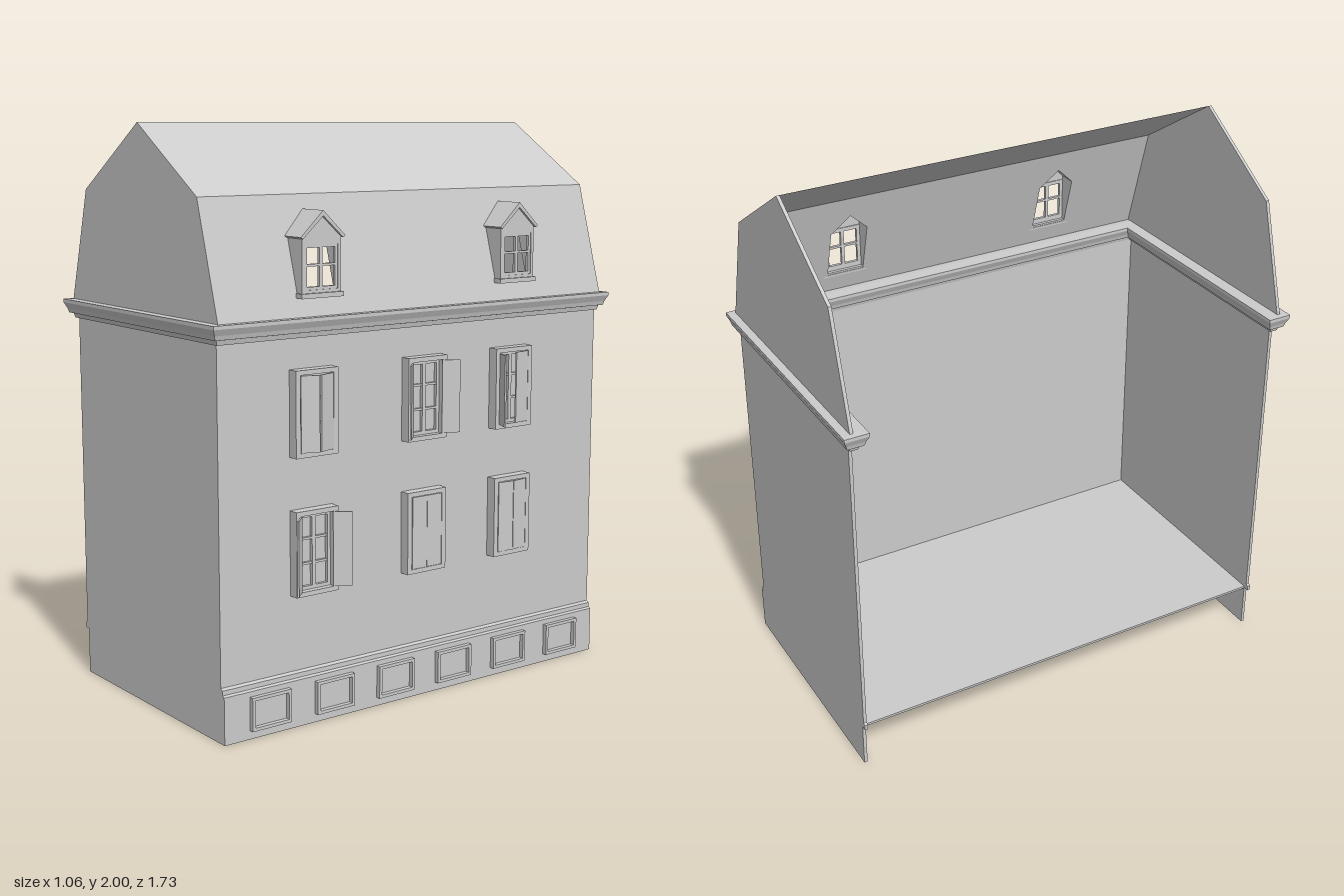
import * as THREE from 'three';

const mat = new THREE.MeshStandardMaterial({ color: 0xcccccc, flatShading: true, side: THREE.DoubleSide });

// Line of the steep lower roof slope: x for a given height
const roofX = (y) => 0.45 + ((y - 1.375) / (1.77 - 1.375)) * (0.335 - 0.45);

function shapeOf(points, holes = []) {
  const s = new THREE.Shape(points.map((p) => new THREE.Vector2(...p)));
  holes.forEach((h) => s.holes.push(new THREE.Path(h.map((p) => new THREE.Vector2(...p)))));
  return s;
}

const rect = (w, y0, y1, c = 0) => [[c - w / 2, y0], [c + w / 2, y0], [c + w / 2, y1], [c - w / 2, y1]];

function add(parent, name, geometry) {
  const m = new THREE.Mesh(geometry, mat);
  m.name = name;
  parent.add(m);
  return m;
}

// Outline in (x, y) pushed along z from z0 to z1
function alongZ(points, z0, z1) {
  return new THREE.ExtrudeGeometry(shapeOf(points), { depth: z1 - z0, bevelEnabled: false }).translate(0, 0, z0);
}

// Symmetric outline in (z, y) pushed along x; toRoof ends its back on the roof slope
function alongX(points, holes, x0, x1, toRoof = false) {
  const g = new THREE.ExtrudeGeometry(shapeOf(points, holes), { depth: x1 - x0, bevelEnabled: false });
  g.rotateY(Math.PI / 2).translate(x0, 0, 0);
  if (toRoof) {
    const p = g.attributes.position;
    for (let i = 0; i < p.count; i++) if (p.getX(i) < x0 + 1e-4) p.setX(i, roofX(p.getY(i)));
    g.computeVertexNormals();
  }
  return g;
}

function box(x0, x1, y0, y1, z0, z1) {
  return new THREE.BoxGeometry(x1 - x0, y1 - y0, z1 - z0).translate((x0 + x1) / 2, (y0 + y1) / 2, (z0 + z1) / 2);
}

// Moulding swept around the U of the walls, on the outside, the ends and the inside
function corniceGeometry() {
  const corners = [ // x, z, and the outward direction of each mitre
    [-0.497, 0.83, -1, 1], [0.435, 0.83, 1, 1], [0.435, -0.83, 1, -1], [-0.497, -0.83, -1, -1],
    [-0.497, -0.81, -1, 1], [0.415, -0.81, -1, 1], [0.415, 0.81, -1, -1], [-0.497, 0.81, -1, -1],
  ];
  const profile = [[-0.01, 1.312], [0.004, 1.312], [0.008, 1.328], [0.02, 1.33], [0.024, 1.345],
    [0.034, 1.366], [0.034, 1.378], [-0.01, 1.38]];
  const at = (i, k) => {
    const [x, z, sx, sz] = corners[i % corners.length];
    const [d, y] = profile[k];
    return [x + sx * d, y, z + sz * d];
  };
  const pos = [];
  for (let i = 0; i < corners.length; i++) {
    for (let k = 0; k < profile.length - 1; k++) {
      const [a, b, c, d] = [at(i, k), at(i + 1, k), at(i + 1, k + 1), at(i, k + 1)];
      pos.push(...a, ...b, ...c, ...a, ...c, ...d);
    }
  }
  const g = new THREE.BufferGeometry();
  g.setAttribute('position', new THREE.Float32BufferAttribute(pos, 3));
  g.computeVertexNormals();
  return g;
}

// Framed window with glazing bars and a hinged pair of shutters
function windowUnit(c, y0, openA, openB) {
  const g = new THREE.Group();
  g.name = 'window';
  add(g, 'windowFrame', alongX(rect(0.17, y0, y0 + 0.29), [rect(0.134, y0 + 0.016, y0 + 0.274)], 0.425, 0.468));
  add(g, 'glass', box(0.428, 0.434, y0 + 0.01, y0 + 0.28, -0.07, 0.07));
  add(g, 'sashFrame', alongX(rect(0.136, y0 + 0.014, y0 + 0.276), [rect(0.11, y0 + 0.028, y0 + 0.262)], 0.43, 0.446));
  add(g, 'mullion', box(0.43, 0.446, y0 + 0.02, y0 + 0.27, -0.007, 0.007));
  for (const t of [0.105, 0.19]) add(g, 'glazingBar', box(0.43, 0.444, y0 + t - 0.004, y0 + t + 0.004, -0.06, 0.06));
  [[1, openA], [-1, openB]].forEach(([s, angle]) => {
    const shutter = add(g, 'shutter', new THREE.BoxGeometry(0.006, 0.255, 0.064).translate(0, 0, -s * 0.032));
    shutter.position.set(0.466, y0 + 0.145, s * 0.0645);
    shutter.rotation.y = -s * angle;
  });
  g.position.z = c;
  return g;
}

const pentagon = (w, y0, eave, top, c = 0) => [[c - w, y0], [c + w, y0], [c + w, eave], [c, top], [c - w, eave]];

// Small gabled dormer open to the attic
function dormer(c) {
  const g = new THREE.Group();
  g.name = 'dormer';
  add(g, 'dormerWalls', alongX(pentagon(0.078, 1.44, 1.635, 1.705), [pentagon(0.07, 1.45, 1.63, 1.695)], 0.3, 0.453, true));
  add(g, 'dormerFront', alongX(pentagon(0.078, 1.44, 1.635, 1.705), [rect(0.132, 1.466, 1.612)], 0.443, 0.455));
  add(g, 'dormerRoof', alongX([[-0.089, 1.638], [-0.08, 1.632], [0, 1.704], [0.08, 1.632], [0.089, 1.638], [0, 1.722]],
    [], 0.3, 0.465, true));
  add(g, 'dormerSill', box(0.43, 0.464, 1.44, 1.456, -0.084, 0.084));
  add(g, 'dormerSash', alongX(rect(0.136, 1.462, 1.616), [rect(0.112, 1.476, 1.602)], 0.44, 0.452));
  add(g, 'dormerMullion', box(0.44, 0.452, 1.466, 1.612, -0.006, 0.006));
  add(g, 'dormerBar', box(0.44, 0.452, 1.542, 1.55, -0.064, 0.064));
  g.position.z = c;
  return g;
}

export function createModel() {
  const house = new THREE.Group();
  house.name = 'house';

  // Facade with plinth, string moulding and wall in one outline
  const face = [[0.45, 0], [0.45, 0.163], [0.441, 0.168], [0.441, 0.184], [0.43, 0.19], [0.43, 1.378]];
  add(house, 'facade', alongZ([[0.415, 0], ...face, [0.415, 1.378]], -0.83, 0.83));

  // Side walls and gables
  const side = [[-0.48, 1.378], [-0.48, 0.19], [-0.49, 0.184], [-0.49, 0.165], [-0.47, 0.165], [-0.47, 0]];
  const gable = [[-0.51, 1.375], [0.45, 1.375], [0.335, 1.77], [-0.03, 2], [-0.395, 1.77]];
  for (const s of [1, -1]) {
    const span = (a, b) => (s > 0 ? [a, b] : [-b, -a]);
    add(house, 'sideWall', alongZ([...side, ...face], ...span(0.818, 0.83)));
    add(house, 'gable', alongZ(gable, ...span(0.823, 0.835)));
  }

  add(house, 'floor', box(-0.47, 0.42, 0.163, 0.172, -0.825, 0.825));
  add(house, 'cornice', corniceGeometry());

  // Roof over the facade half only; the steep slope has dormer openings
  const dormers = [0.44, -0.414];
  const slope = new THREE.ShapeGeometry(shapeOf(rect(1.67, 1.375, 1.77),
    dormers.map((c) => pentagon(0.07, 1.45, 1.63, 1.695, -c))));
  slope.rotateY(Math.PI / 2);
  const p = slope.attributes.position;
  for (let i = 0; i < p.count; i++) p.setX(i, roofX(p.getY(i)));
  slope.computeVertexNormals();
  add(house, 'lowerRoof', slope);
  const upper = new THREE.PlaneGeometry(1.67, Math.hypot(0.365, 0.23)).rotateY(Math.PI / 2);
  upper.rotateZ(Math.atan2(0.365, 0.23)).translate(0.1525, 1.885, 0);
  add(house, 'upperRoof', upper);
  dormers.forEach((c) => house.add(dormer(c)));

  // Windows: centre z, bottom, opening angle of each shutter
  [
    [0.468, 0.92, 0.35, 0.3], [0, 0.92, 2.37, 2.7], [-0.398, 0.92, 2.0, 0.15],
    [0.468, 0.452, 2.36, 2.6], [0, 0.452, 0, 0], [-0.398, 0.452, 0.1, 0.1],
  ].forEach((w) => house.add(windowUnit(...w)));

  // Plinth panels
  for (let i = 0; i < 6; i++) {
    const panel = add(house, 'plinthPanel', alongX(rect(0.156, 0.03, 0.145), [rect(0.134, 0.041, 0.134)], 0.445, 0.467));
    panel.position.z = 0.653 - i * 0.263;
  }
  return house;
}
